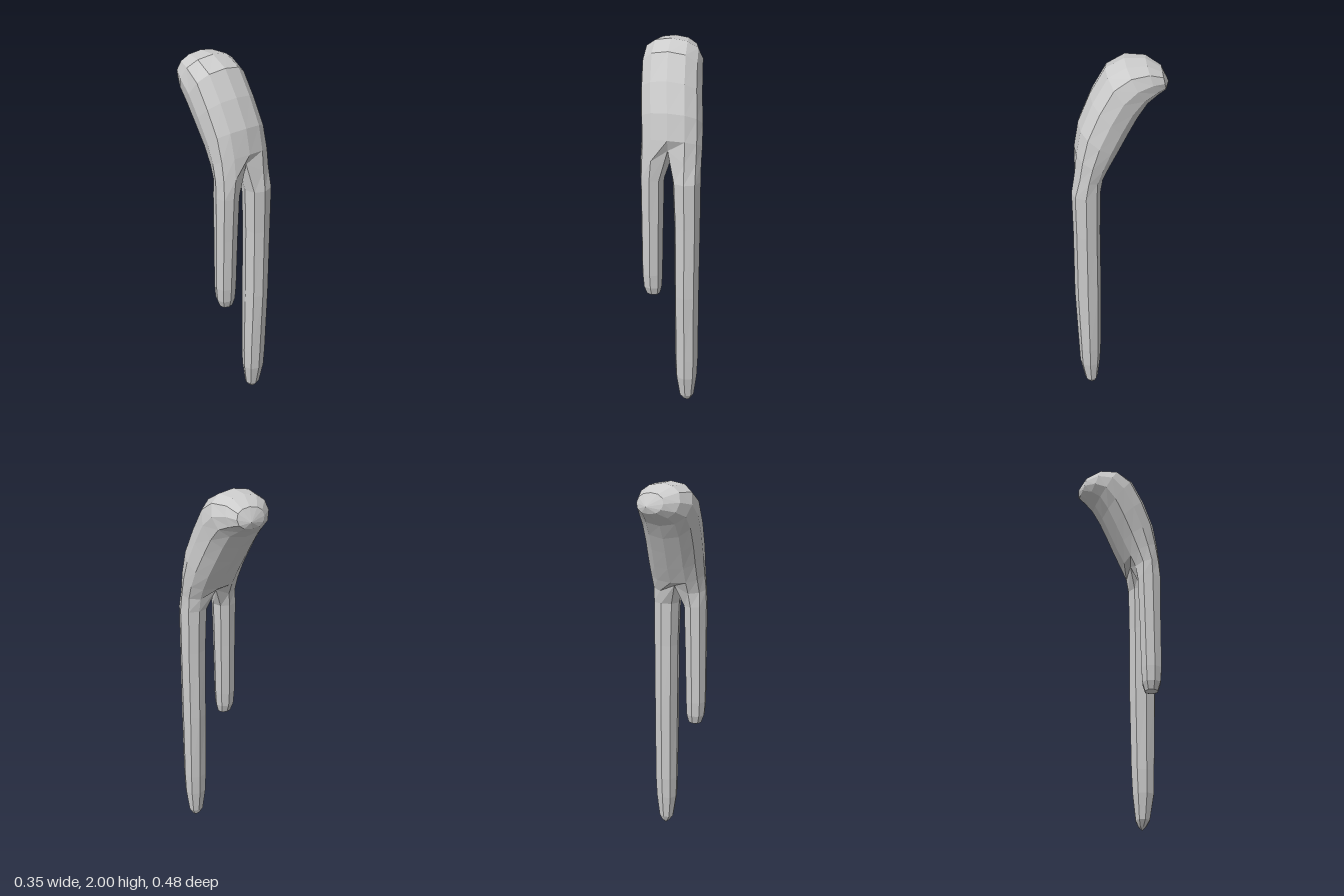
import * as THREE from 'three';

// Rounded ring of n points running +x, front, -x, back.
// front / back are [z, y]; x0..x1 is the width.
function ring(n, x0, x1, front, back) {
  const pts = [];
  const soft = (v) => Math.sign(v) * Math.pow(Math.abs(v), 0.88);
  for (let i = 0; i < n; i++) {
    const a = (i / n) * Math.PI * 2;
    const c = soft(Math.cos(a)), s = soft(Math.sin(a));
    pts.push(new THREE.Vector3(
      (x0 + x1) / 2 + c * (x1 - x0) / 2,
      (front[1] + back[1]) / 2 + s * (front[1] - back[1]) / 2,
      (front[0] + back[0]) / 2 + s * (front[0] - back[0]) / 2));
  }
  return pts;
}

// Skin between two rings of equal count, upper one first.
function bridge(out, a, b) {
  for (let i = 0; i < a.length; i++) {
    const j = (i + 1) % a.length;
    out.push(a[i], a[j], b[j], a[i], b[j], b[i]);
  }
}

// Level ring of a drip, rotated so its points match the half ring above.
function dripRing(shift, [y, x0, x1, z0, z1]) {
  const r = ring(8, x0, x1, [z1, y], [z0, y]);
  return r.map((_, i) => r[(i + shift) % 8]);
}

function drip(out, start, shift, levels, tip) {
  let last = start;
  for (const level of levels) {
    const next = dripRing(shift, level);
    bridge(out, last, next);
    last = next;
  }
  last.forEach((p, i) => out.push(p, last[(i + 1) % 8], tip));
}

export function createModel() {
  const group = new THREE.Group();
  const tris = [];

  // Bent head: from the rear tip, over the top and down to the fork
  const head = [
    [-0.09, 0.06, [-0.205, 1.955], [-0.228, 1.855]],
    [-0.15, 0.09, [-0.13, 1.995], [-0.19, 1.825]],
    [-0.178, 0.122, [-0.03, 2.0], [-0.145, 1.79]],
    [-0.176, 0.135, [0.06, 1.955], [-0.1, 1.72]],
    [-0.165, 0.148, [0.135, 1.83], [-0.055, 1.64]],
    [-0.15, 0.164, [0.195, 1.69], [-0.005, 1.55]],
    [-0.142, 0.17, [0.218, 1.56], [0.04, 1.47]],
  ].map((r) => ring(12, ...r));

  // Last ring is pinched at front and back to start the fork
  const fork = ring(12, -0.141, 0.17, [0.23, 1.45], [0.07, 1.41]);
  fork[3].set(0.01, 1.5, 0.195);
  fork[9].set(0.01, 1.45, 0.075);
  head.push(fork);

  const rear = new THREE.Vector3(-0.005, 1.89, -0.24);
  head[0].forEach((p, i) => tris.push(rear, head[0][(i + 1) % 12], p));
  for (let i = 0; i < head.length - 1; i++) bridge(tris, head[i], head[i + 1]);

  // Each half of the fork closes over the shared crotch point
  const crotch = new THREE.Vector3(0.01, 1.475, 0.14);
  const half = (from) => [...Array(7).keys()].map((k) => fork[(from + k) % 12]).concat(crotch);

  // Short drip on the right: [y, x0, x1, z0, z1]
  drip(tris, half(3), 1, [
    [1.34, -0.141, -0.018, 0.088, 0.22],
    [1.1, -0.141, -0.024, 0.095, 0.215],
    [0.8, -0.141, -0.03, 0.1, 0.212],
    [0.72, -0.135, -0.034, 0.105, 0.205],
    [0.675, -0.118, -0.045, 0.12, 0.19],
  ], new THREE.Vector3(-0.085, 0.66, 0.155));

  // Long drip on the left
  drip(tris, half(9), 5, [
    [1.34, 0.028, 0.172, 0.092, 0.238],
    [1.1, 0.037, 0.172, 0.097, 0.236],
    [0.7, 0.04, 0.17, 0.097, 0.24],
    [0.3, 0.042, 0.17, 0.104, 0.228],
    [0.18, 0.046, 0.165, 0.11, 0.224],
    [0.05, 0.065, 0.148, 0.125, 0.2],
    [0.018, 0.088, 0.13, 0.14, 0.18],
  ], new THREE.Vector3(0.11, 0, 0.16));

  const mesh = new THREE.Mesh(
    new THREE.BufferGeometry().setFromPoints(tris),
    new THREE.MeshStandardMaterial({ color: 0xcccccc, flatShading: true }));
  mesh.geometry.computeVertexNormals();
  mesh.name = 'forkedDrip';
  group.add(mesh);
  return group;
}
